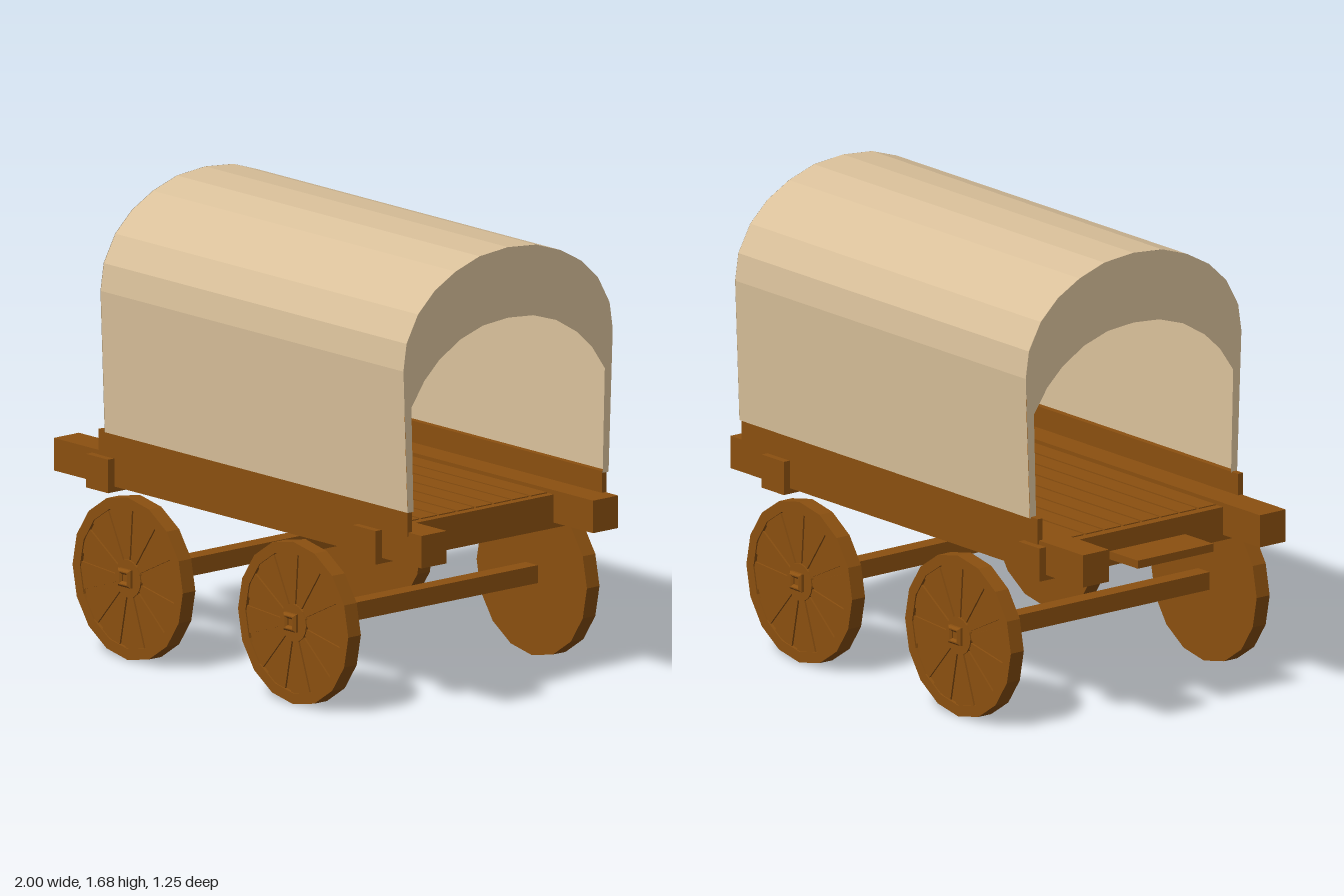
import * as THREE from 'three';

const wood = new THREE.MeshStandardMaterial({ color: 0x8b5010, flatShading: true });
const cloth = new THREE.MeshStandardMaterial({ color: 0xd9c09a, flatShading: true, side: THREE.DoubleSide });

// Box given by its minimum and maximum along each axis
function box(name, x0, x1, y0, y1, z0, z1) {
  const mesh = new THREE.Mesh(new THREE.BoxGeometry(x1 - x0, y1 - y0, z1 - z0), wood);
  mesh.position.set((x0 + x1) / 2, (y0 + y1) / 2, (z0 + z1) / 2);
  mesh.name = name;
  return mesh;
}

// Half profile [z, y] from the foot to the crown, mirrored into a full arch
function arch(half) {
  const mirrored = half.slice(0, -1).reverse().map(([z, y]) => [-z, y]);
  return [...half, ...mirrored];
}

const OUTER = arch([[0.48, 0.775], [0.5, 1.3], [0.485, 1.4], [0.43, 1.5], [0.35, 1.575],
  [0.25, 1.63], [0.135, 1.668], [0, 1.68]]);
const INNER = arch([[0.452, 0.775], [0.462, 1.16], [0.4, 1.25], [0.33, 1.315],
  [0.23, 1.375], [0.12, 1.41], [0, 1.42]]);

// Wheel lying around the z axis, carved on its +z face
function wheel() {
  const g = new THREE.Group();
  g.name = 'wheel';
  const disc = (name, r, z0, z1, sides) => {
    const geo = new THREE.CylinderGeometry(r, r, z1 - z0, sides);
    geo.rotateX(Math.PI / 2);
    const m = new THREE.Mesh(geo, wood);
    m.position.z = (z0 + z1) / 2;
    m.name = name;
    g.add(m);
  };
  disc('wheelDisc', 0.3, -0.03, 0.018, 16);
  disc('hub', 0.07, 0.01, 0.03, 16);

  const ring = new THREE.Shape();
  const hole = new THREE.Path();
  for (let i = 0; i < 16; i++) {
    const a = (i / 16) * Math.PI * 2;
    const c = Math.cos(a), s = Math.sin(a);
    if (i === 0) {
      ring.moveTo(0.3 * c, 0.3 * s);
      hole.moveTo(0.26 * c, 0.26 * s);
    } else {
      ring.lineTo(0.3 * c, 0.3 * s);
      hole.lineTo(0.26 * c, 0.26 * s);
    }
  }
  ring.holes.push(hole);
  const rim = new THREE.Mesh(new THREE.ExtrudeGeometry(ring, { depth: 0.012, bevelEnabled: false }), wood);
  rim.position.z = 0.018;
  rim.name = 'rim';
  g.add(rim);

  // Wedge spokes, wider towards the rim, with narrow grooves between them
  for (let i = 0; i < 12; i++) {
    const s = new THREE.Shape();
    s.moveTo(0.06, -0.012);
    s.lineTo(0.258, -0.052);
    s.lineTo(0.258, 0.052);
    s.lineTo(0.06, 0.012);
    const spoke = new THREE.Mesh(new THREE.ExtrudeGeometry(s, { depth: 0.007, bevelEnabled: false }), wood);
    spoke.rotation.z = (i / 12) * Math.PI * 2 + 0.13;
    spoke.position.z = 0.018;
    spoke.name = 'spoke';
    g.add(spoke);
  }
  return g;
}

// Bevelled square axle end with a recessed square centre
function axleCap() {
  const sq = (path, h) => path.moveTo(-h, -h).lineTo(h, -h).lineTo(h, h).lineTo(-h, h).closePath();
  const shape = sq(new THREE.Shape(), 0.025);
  shape.holes.push(sq(new THREE.Path(), 0.028 - 0.007));
  const geo = new THREE.ExtrudeGeometry(shape, {
    depth: 0.01, bevelEnabled: true, bevelSize: 0.008, bevelThickness: 0.008, bevelSegments: 1,
  });
  const m = new THREE.Mesh(geo, wood);
  m.name = 'axleCap';
  return m;
}

// Curved canvas sheet joining the two ends
function canopy(x0, x1) {
  const pos = [], index = [];
  OUTER.forEach(([z, y], i) => {
    pos.push(x0, y, z, x1, y, z);
    if (i) {
      const a = 2 * i - 2;
      index.push(a, a + 1, a + 3, a, a + 3, a + 2);
    }
  });
  const geo = new THREE.BufferGeometry();
  geo.setAttribute('position', new THREE.Float32BufferAttribute(pos, 3));
  geo.setIndex(index);
  geo.computeVertexNormals();
  const m = new THREE.Mesh(geo, cloth);
  m.name = 'canopy';
  return m;
}

// Arched border that closes the upper part of each end
function endFlap(x) {
  const outline = [...OUTER, ...INNER.slice().reverse()];
  const shape = new THREE.Shape(outline.map(([z, y]) => new THREE.Vector2(-z, y)));
  const m = new THREE.Mesh(new THREE.ShapeGeometry(shape), cloth);
  m.rotation.y = Math.PI / 2;
  m.position.x = x;
  m.name = 'endFlap';
  return m;
}

export function createModel() {
  const model = new THREE.Group();
  model.name = 'coveredWagon';

  // Frame: long rails, sideboards and cross beams
  for (const s of [1, -1]) {
    const rail = box('sideRail', -1, 1, 0.58, 0.7, 0.35, 0.47);
    rail.position.z *= s;
    const board = box('sideboard', -0.75, 0.93, 0.685, 0.78, 0.453, 0.476);
    board.position.z *= s;
    model.add(rail, board);
  }
  model.add(box('crossBeam', -0.79, -0.67, 0.56, 0.684, -0.5, 0.5));
  model.add(box('crossBeam', 0.66, 0.785, 0.56, 0.684, -0.5, 0.5));
  model.add(box('step', -0.95, -0.78, 0.585, 0.615, -0.175, 0.175));

  // Floor planks over a thin backing
  model.add(box('floorBacking', -0.74, 0.74, 0.645, 0.67, -0.36, 0.36));
  const planks = 8, pitch = 0.7 / planks;
  for (let i = 0; i < planks; i++) {
    const z = -0.35 + i * pitch;
    model.add(box('floorPlank', -0.755, 0.755, 0.63, 0.688, z + 0.005, z + pitch - 0.005));
  }

  // Axles with a wheel and a cap at each end
  for (const x of [-0.45, 0.45]) {
    model.add(box('axle', x - 0.033, x + 0.033, 0.272, 0.338, -0.59, 0.59));
    for (const s of [1, -1]) {
      const end = new THREE.Group();
      end.name = 'wheelAssembly';
      const w = wheel();
      w.position.z = 0.57;
      const cap = axleCap();
      cap.position.set(0, 0.005, 0.606);
      const core = box('axleCore', -0.024, 0.024, -0.019, 0.029, 0.58, 0.612);
      end.add(w, cap, core);
      end.position.set(x, 0.3, 0);
      end.rotation.y = s > 0 ? 0 : Math.PI;
      model.add(end);
    }
  }

  // Canvas cover
  model.add(canopy(-0.71, 0.935), endFlap(-0.712), endFlap(0.936));
  return model;
}
